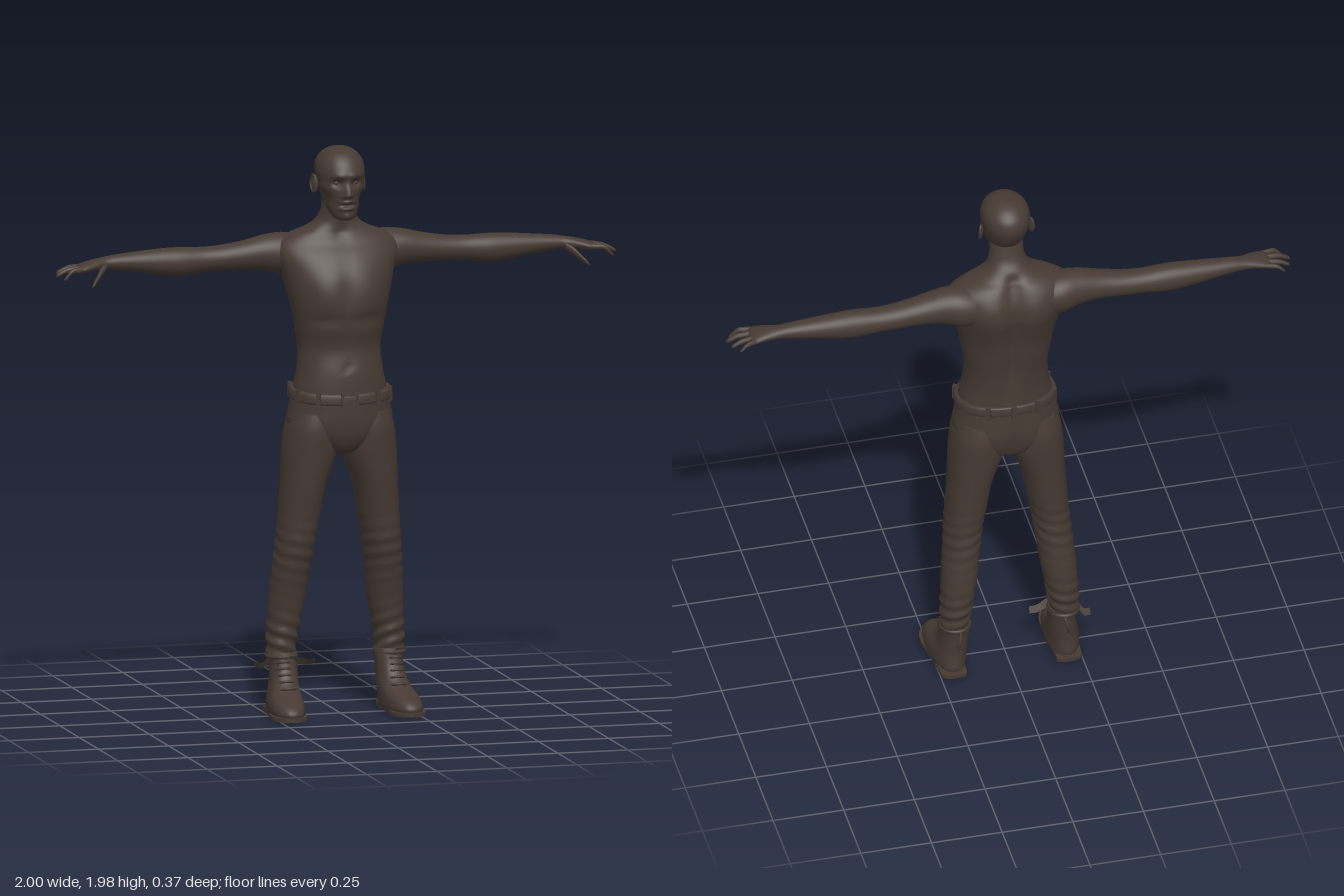
import * as THREE from 'three';
import { mergeVertices } from 'three/addons/utils/BufferGeometryUtils.js';

const skin = new THREE.MeshStandardMaterial({ color: 0x463a33, side: THREE.DoubleSide });
skin.name = 'dark brown';

const bump = (d, w) => Math.exp(-(d * d) / (w * w));
const smooth = (a, b, v) => THREE.MathUtils.smoothstep(v, a, b);

// Smooth closed loft through rows [t, c1, c2, r1, r2] along y (c = x,z) or x (c = y,z)
function loft(rows, { axis = 'y', seg = 32, steps = 4, n = 2, warp } = {}) {
  const pos = [], idx = [], last = rows.length - 1;
  const at = (u, k) => {
    const i = Math.min(Math.floor(u), last - 1), f = u - i;
    const [a, b, c, d] = [i - 1, i, i + 1, i + 2].map(j => rows[THREE.MathUtils.clamp(j, 0, last)][k]);
    return b + 0.5 * f * (c - a + f * (2 * a - 5 * b + 4 * c - d + f * (3 * (b - c) + d - a)));
  };
  const put = (t, p, q) => {
    const v = axis === 'y' ? new THREE.Vector3(p, t, q) : new THREE.Vector3(t, p, q);
    if (warp) warp(v);
    pos.push(v.x, v.y, v.z);
  };
  const rings = last * steps, dir = axis === 'y' ? 1 : -1;
  const pow = v => Math.sign(v) * Math.abs(v) ** (2 / n);
  for (let i = 0; i <= rings; i++) {
    const [t, c1, c2, r1, r2] = [0, 1, 2, 3, 4].map(k => at(i / steps, k));
    for (let j = 0; j < seg; j++) {
      const a = j / seg * Math.PI * 2;
      put(t, c1 + r1 * pow(Math.cos(a)), c2 + dir * r2 * pow(Math.sin(a)));
    }
  }
  for (let i = 0; i < rings; i++) for (let j = 0; j < seg; j++) {
    const a = i * seg + j, b = i * seg + (j + 1) % seg;
    idx.push(a, a + seg, b, b, a + seg, b + seg);
  }
  const lo = pos.length / 3;
  put(...rows[0].slice(0, 3));
  put(...rows[last].slice(0, 3));
  for (let j = 0; j < seg; j++) {
    const k = (j + 1) % seg, top = rings * seg;
    idx.push(lo, j, k, lo + 1, top + k, top + j);
  }
  const g = new THREE.BufferGeometry();
  g.setAttribute('position', new THREE.Float32BufferAttribute(pos, 3));
  g.setIndex(idx);
  g.computeVertexNormals();
  return g;
}

function mirrored(geo) {
  const g = geo.index ? geo.clone() : mergeVertices(geo);
  for (const k of ['position', 'normal']) {
    const a = g.attributes[k];
    for (let i = 0; i < a.count; i++) a.setX(i, -a.getX(i));
  }
  const x = g.index.array;
  for (let i = 0; i < x.length; i += 3) [x[i], x[i + 1]] = [x[i + 1], x[i]];
  return g;
}

const tube = (pts, r, n = 12) => new THREE.TubeGeometry(
  new THREE.CatmullRomCurve3(pts.map(p => new THREE.Vector3(...p))), n, r, 6);

export function createModel() {
  const model = new THREE.Group();
  const add = (name, geo) => {
    const m = new THREE.Mesh(geo, skin);
    m.name = name;
    model.add(m);
    return m;
  };
  const pair = (name, geo) => { add(name + 'Left', geo); add(name + 'Right', mirrored(geo)); };

  // Torso and neck, with chest, belly and spine shaping
  add('torso', loft([
    [1.08, 0, -.01, .165, .12], [1.14, 0, -.01, .162, .12], [1.2, 0, -.012, .15, .118],
    [1.28, 0, -.022, .145, .115], [1.35, 0, -.02, .155, .128], [1.42, 0, -.02, .168, .137],
    [1.5, 0, -.033, .187, .142], [1.55, 0, -.045, .2, .14], [1.6, 0, -.057, .215, .124],
    [1.64, 0, -.065, .21, .1], [1.67, 0, -.063, .165, .084], [1.69, 0, -.056, .115, .072],
    [1.715, 0, -.048, .077, .062], [1.75, 0, -.034, .061, .052], [1.81, 0, -.02, .058, .048],
  ], {
    seg: 64, steps: 5, n: 2.2, warp: v => {
      const ax = Math.abs(v.x);
      if (v.z < -.06) {
        const k = smooth(1.15, 1.35, v.y) * (1 - smooth(1.66, 1.72, v.y));
        v.z += k * (.024 * bump(v.x, .028) - .01 * bump(ax - .095, .05) * bump(v.y - 1.57, .1));
      } else if (v.z > .01) {
        v.z += .009 * bump(ax - .085, .055) * bump(v.y - 1.48, .06);
        v.z -= .006 * bump(v.x, .02) * bump(v.y - 1.45, .16) + .008 * bump(v.y - 1.385, .02) * bump(ax - .07, .06);
        v.z -= .008 * bump(v.x, .012) * bump(v.y - 1.22, .012);
        v.z -= .008 * bump(v.x, .02) * bump(v.y - 1.68, .025);
      }
    },
  }));

  // Head, with sockets, brow, nose, lips and hollow cheeks
  add('head', loft([
    [1.73, 0, .05, .022, .032], [1.738, 0, .043, .037, .047], [1.76, 0, .03, .051, .064],
    [1.79, 0, .017, .062, .079], [1.83, 0, .002, .073, .096], [1.87, 0, -.008, .081, .107],
    [1.9, 0, -.012, .084, .108], [1.93, 0, -.015, .078, .096], [1.955, 0, -.015, .06, .072],
    [1.97, 0, -.015, .035, .042], [1.976, 0, -.015, .008, .01],
  ], {
    seg: 72, steps: 8, n: 2.1, warp: v => {
      if (v.z < .015) return;
      const ax = Math.abs(v.x), y = v.y;
      v.z -= .017 * bump(ax - .032, .018) * bump(y - 1.86, .014);
      v.z += .006 * bump(ax - .028, .03) * bump(y - 1.886, .012);
      const nose = smooth(1.806, 1.818, y) * (1 - smooth(1.815, 1.872, y));
      v.z += .024 * nose * bump(v.x, .012) + .007 * bump(ax - .014, .008) * bump(y - 1.816, .009);
      v.z += .008 * bump(v.x, .026) * (bump(y - 1.796, .007) + bump(y - 1.772, .007));
      v.z -= .012 * bump(v.x, .022) * bump(y - 1.784, .005);
      v.z += .006 * bump(v.x, .022) * bump(y - 1.745, .013);
      v.x *= 1 - .1 * bump(y - 1.8, .025) * bump(ax - .055, .03) + .05 * bump(y - 1.84, .016);
    },
  }));
  pair('eye', new THREE.SphereGeometry(.013, 16, 12).translate(.032, 1.86, .066));
  const ear = new THREE.SphereGeometry(1, 16, 12).scale(.007, .029, .018);
  pair('ear', ear.rotateY(-.35).rotateX(-.15).translate(.086, 1.845, -.02));
  const rim = new THREE.TorusGeometry(.021, .005, 8, 20).scale(.8, 1.3, 1);
  pair('earRim', rim.rotateY(Math.PI / 2 - .35).rotateX(-.15).translate(.089, 1.847, -.022));

  // Arms and palms
  pair('arm', loft([
    [.09, 1.59, -.095, .06, .06], [.17, 1.594, -.093, .075, .073], [.24, 1.602, -.088, .064, .063],
    [.32, 1.597, -.088, .051, .053], [.4, 1.59, -.091, .045, .048], [.47, 1.587, -.092, .044, .045],
    [.55, 1.584, -.09, .05, .047], [.62, 1.586, -.09, .046, .044], [.7, 1.59, -.089, .036, .038],
    [.78, 1.592, -.087, .027, .031], [.82, 1.591, -.084, .022, .029], [.86, 1.587, -.075, .02, .038],
    [.9, 1.58, -.069, .017, .046], [.92, 1.576, -.069, .011, .043],
  ], { axis: 'x', seg: 32 }));

  // Fingers [tip x, tip y, root z, tip z, radius]
  [[.965, 1.562, -.104, -.124, .008], [.988, 1.562, -.082, -.094, .0095],
    [.998, 1.558, -.058, -.055, .01], [.98, 1.55, -.036, -.02, .0095]].forEach(([x, y, z0, z1, r], i) =>
    pair('finger' + (i + 1), loft([
      [.89, 1.58, z0, r, r], [.92, 1.579, z0 + (z1 - z0) * .35, r * 1.1, r],
      [(.92 + x) / 2, 1.576, z0 + (z1 - z0) * .7, r, r * .95],
      [x - .008, y + .004, z1, r * .75, r * .75], [x, y, z1, r * .2, r * .2],
    ], { axis: 'x', seg: 12 })));
  pair('thumb', loft([
    [.815, 1.584, -.066, .012, .014], [.84, 1.567, -.044, .016, .017],
    [.862, 1.547, -.017, .011, .012], [.878, 1.532, .001, .009, .01], [.887, 1.524, .008, .002, .002],
  ], { axis: 'x', seg: 14 }));

  // Trousers: hips and legs with creases at knee and ankle
  add('hips', loft([
    [.905, 0, -.02, .02, .05], [.925, 0, -.02, .075, .095], [.97, 0, -.018, .155, .12],
    [1.02, 0, -.016, .185, .129], [1.07, 0, -.013, .178, .128], [1.13, 0, -.01, .169, .125],
  ], {
    seg: 56, n: 2.2, warp: v => {
      if (v.z < -.06) v.z += .014 * bump(v.x, .025) * bump(v.y - .98, .07);
    },
  }));
  pair('leg', loft([
    [.19, .192, -.07, .052, .056], [.225, .192, -.07, .051, .056], [.3, .186, -.07, .055, .066],
    [.4, .175, -.062, .062, .073], [.5, .165, -.045, .063, .08], [.6, .154, -.03, .065, .09],
    [.7, .141, -.026, .071, .098], [.8, .128, -.022, .077, .107], [.92, .106, -.02, .094, .117],
    [1.0, .1, -.018, .09, .12], [1.06, .09, -.015, .082, .11],
  ], {
    seg: 40, steps: 8, n: 2.15, warp: v => {
      const a = Math.atan2(v.z + .05, v.x - .17);
      const k = .005 * bump(v.y - .27, .07) + .003 * bump(v.y - .57, .09);
      const w = k * Math.sin(v.y * 130 + a * 2);
      v.x += w * Math.cos(a);
      v.z += w * Math.sin(a);
    },
  }));

  // Belt, slightly lower in front, with loops and buckle
  const tilt = z => -.1 * z;
  add('belt', loft([
    [1.103, 0, -.008, .168, .122], [1.105, 0, -.008, .178, .132], [1.121, 0, -.008, .179, .133],
    [1.138, 0, -.008, .175, .13], [1.14, 0, -.008, .163, .12],
  ], { seg: 56, n: 2.2, steps: 3, warp: v => { v.y += tilt(v.z); } }));
  [.42, .95, 2.19, 2.72, 3.6, 4.2, 4.71, 5.22, 5.82].forEach(a => {
    const x = .179 * Math.cos(a) * 1.01, z = -.008 + .134 * Math.sin(a) * 1.01;
    const m = add('beltLoop', new THREE.BoxGeometry(.016, .052, .012));
    m.position.set(x, 1.12 + tilt(z), z);
    m.rotation.y = Math.atan2(Math.cos(a) / .179, Math.sin(a) / .134);
  });
  const frame = new THREE.Shape([[-.03, -.022], [.03, -.022], [.03, .022], [-.03, .022]].map(p => new THREE.Vector2(...p)));
  frame.holes.push(new THREE.Path([[-.022, -.014], [-.022, .014], [.022, .014], [.022, -.014]].map(p => new THREE.Vector2(...p))));
  add('buckle', new THREE.ExtrudeGeometry(frame, { depth: .01, bevelEnabled: false }).translate(0, 1.11, .12));
  add('bucklePin', new THREE.BoxGeometry(.03, .005, .006).translate(.01, 1.11, .13));

  // Boots: upper, sole, heel, collar and laces
  pair('boot', loft([
    [.012, .206, .032, .058, .142], [.03, .206, .032, .061, .146], [.052, .205, .022, .06, .134],
    [.07, .203, .002, .057, .112], [.09, .2, -.022, .053, .087], [.12, .197, -.042, .049, .069],
    [.16, .194, -.055, .047, .059], [.2, .192, -.064, .049, .056], [.215, .192, -.066, .047, .054],
  ], { seg: 40, steps: 5, n: 2.25, warp: v => { v.x += .012 * smooth(-.06, .18, v.z) - .006; } }));
  const sole = new THREE.Shape();
  sole.moveTo(.158, .11);
  sole.bezierCurveTo(.155, .135, .245, .135, .248, .11);
  sole.bezierCurveTo(.25, .04, .262, -.02, .274, -.09);
  sole.bezierCurveTo(.28, -.215, .145, -.215, .148, -.09);
  sole.bezierCurveTo(.152, -.02, .162, .04, .158, .11);
  const soleGeo = new THREE.ExtrudeGeometry(sole, { depth: .014, bevelEnabled: false, curveSegments: 12 });
  pair('sole', soleGeo.rotateX(-Math.PI / 2).translate(0, .004, 0));
  pair('heel', new THREE.CylinderGeometry(.047, .046, .02, 24).translate(.203, .01, -.07));
  pair('collar', new THREE.TorusGeometry(.05, .008, 8, 28).rotateX(Math.PI / 2).scale(1, 1, 1.1).translate(.192, .2, -.066));
  for (let i = 0; i < 5; i++) {
    const y = .1 + i * .021, z = [.06, .031, .014, .004, -.002][i];
    pair('lace', tube([[.166, y - .006, z - .028], [.182, y, z - .001], [.197, y + .003, z + .004],
      [.212, y, z - .001], [.228, y - .006, z - .028]], .0045));
  }

  // Loose pull tabs and strap flaps at the ankles
  const flap = (name, pts, h) => {
    const curve = new THREE.CatmullRomCurve3(pts.map(p => new THREE.Vector3(...p)));
    const g = new THREE.PlaneGeometry(1, 1, 12, 1), a = g.attributes.position;
    for (let i = 0; i < a.count; i++) {
      const u = a.getX(i) + .5, p = curve.getPoint(u);
      a.setXYZ(i, p.x, p.y + a.getY(i) * h * (1 - .4 * u), p.z + a.getY(i) * .015);
    }
    g.computeVertexNormals();
    add(name, g);
  };
  flap('rightInnerFlap', [[-.18, .19, -.01], [-.14, .186, -.02], [-.11, .178, -.03], [-.08, .18, -.035]], .03);
  flap('rightOuterFlap', [[-.215, .185, -.02], [-.25, .18, -.05], [-.265, .165, -.07], [-.285, .172, -.08]], .03);
  flap('leftOuterFlap', [[.2, .2, -.01], [.235, .195, -.04], [.25, .205, -.07], [.262, .23, -.1]], .035);
  flap('leftInnerFlap', [[.19, .19, -.01], [.16, .185, -.025], [.145, .19, -.045], [.138, .196, -.06]], .03);
  pair('pullTab', tube([[.185, .2, -.12], [.186, .19, -.135], [.192, .165, -.145], [.196, .14, -.138]], .006));

  return model;
}
